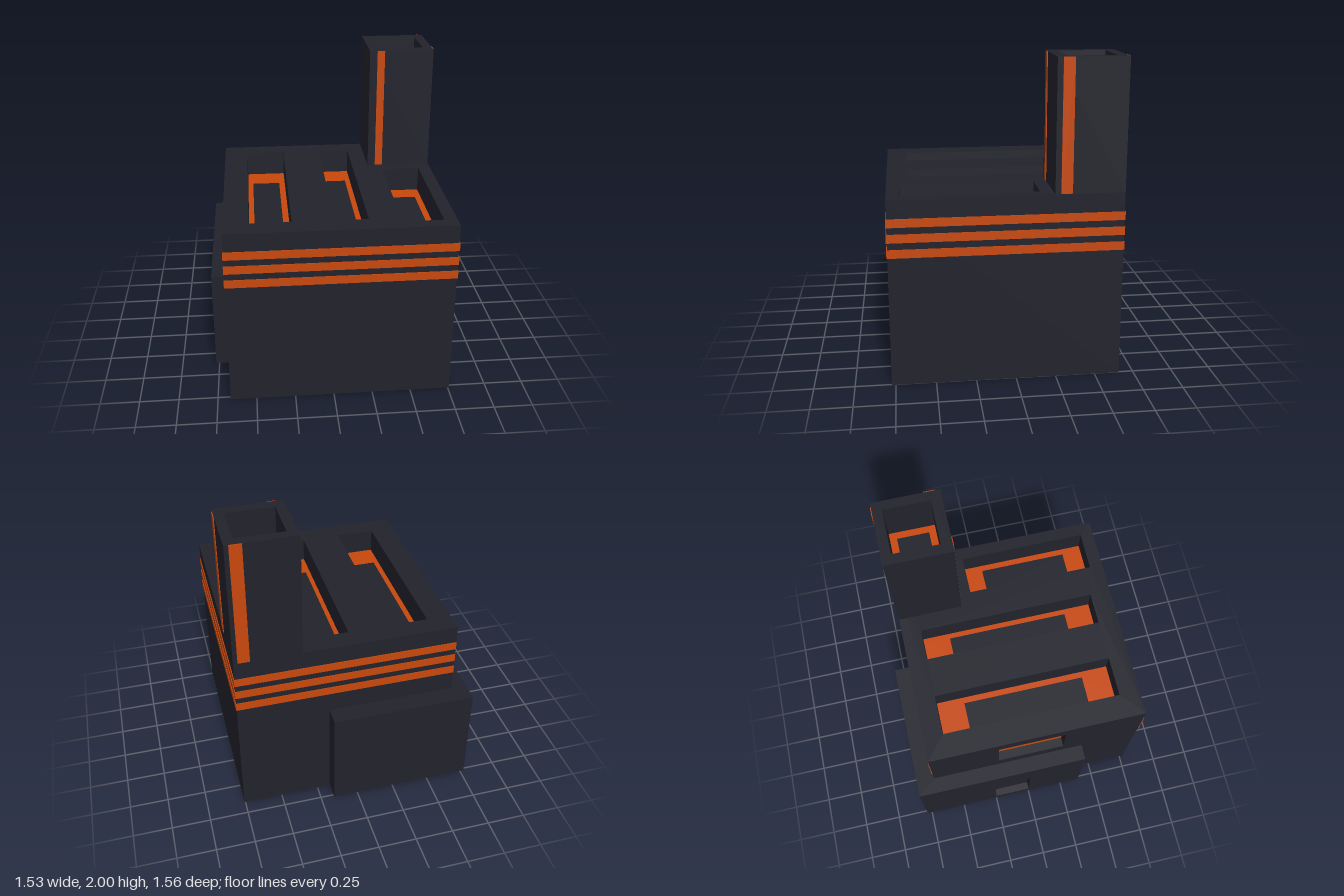
import * as THREE from 'three';

const dark = new THREE.MeshStandardMaterial({ color: 0x22222c, side: THREE.DoubleSide });
dark.name = 'charcoal';
const orange = new THREE.MeshStandardMaterial({ color: 0xc8480c, side: THREE.DoubleSide });
orange.name = 'burnt orange';

// Rectangles are [x0, x1, y0, y1] in the plane of a face
function outline(PathType, [x0, x1, y0, y1]) {
  const p = new PathType();
  p.moveTo(x0, y0);
  p.lineTo(x1, y0);
  p.lineTo(x1, y1);
  p.lineTo(x0, y1);
  p.closePath();
  return p;
}

function sheet(parent, name, rect, z, material, holes = []) {
  const shape = outline(THREE.Shape, rect);
  for (const h of holes) shape.holes.push(outline(THREE.Path, h));
  const mesh = new THREE.Mesh(new THREE.ShapeGeometry(shape), material);
  mesh.name = name;
  mesh.position.z = z;
  parent.add(mesh);
}

// Sunken opening: four inner walls, a floor ring and a centre panel
function recess(parent, name, rect, z, depth, inner, ringMaterial) {
  const [x0, x1, y0, y1] = rect;
  const corners = [[x0, y0], [x1, y0], [x1, y1], [x0, y1]];
  corners.forEach(([ax, ay], i) => {
    const [bx, by] = corners[(i + 1) % 4];
    const geo = new THREE.PlaneGeometry(Math.hypot(bx - ax, by - ay), depth);
    geo.rotateX(Math.PI / 2);
    geo.rotateZ(Math.atan2(by - ay, bx - ax));
    const wall = new THREE.Mesh(geo, dark);
    // turn the wall so that it faces into the opening
    wall.geometry.scale(1, 1, 1);
    wall.position.set((ax + bx) / 2, (ay + by) / 2, z - depth / 2);
    if (geo.attributes.normal.getX(0) * ((x0 + x1) / 2 - wall.position.x)
      + geo.attributes.normal.getY(0) * ((y0 + y1) / 2 - wall.position.y) < 0) {
      geo.rotateZ(Math.PI);
    }
    wall.name = name + 'Wall';
    parent.add(wall);
  });
  sheet(parent, name + 'Rim', rect, z - depth, ringMaterial, [inner]);
  sheet(parent, name + 'Centre', inner, z - depth, dark);
}

// A face frame whose local z is the outward normal
const turns = {
  front: [0, 0], back: [0, Math.PI], left: [0, Math.PI / 2], right: [0, -Math.PI / 2], top: [-Math.PI / 2, 0],
};
function face(parent, side) {
  const g = new THREE.Group();
  g.name = side + 'Face';
  g.rotation.set(turns[side][0], turns[side][1], 0);
  parent.add(g);
  return g;
}

// Open-bottomed block; returns its face frames. holes: { side: [rects] }
function block(parent, name, [x0, x1], [y0, y1], [z0, z1], holes = {}) {
  const g = new THREE.Group();
  g.name = name;
  parent.add(g);
  const layout = {
    front: [[x0, x1, y0, y1], z1],
    back: [[-x1, -x0, y0, y1], -z0],
    left: [[-z1, -z0, y0, y1], x1],
    right: [[z0, z1, y0, y1], -x0],
    top: [[x0, x1, -z1, -z0], y1],
  };
  const faces = {};
  for (const [side, [rect, d]] of Object.entries(layout)) {
    faces[side] = face(g, side);
    sheet(faces[side], name + 'Panel', rect, d, dark, holes[side]);
  }
  return faces;
}

// Thin painted strip standing just proud of a face
function strip(parent, name, [x0, x1, y0, y1], z) {
  const t = 0.005;
  const mesh = new THREE.Mesh(new THREE.BoxGeometry(x1 - x0, y1 - y0, t), orange);
  mesh.name = name;
  mesh.position.set((x0 + x1) / 2, (y0 + y1) / 2, z + t / 2);
  parent.add(mesh);
}

export function createModel() {
  const model = new THREE.Group();
  model.name = 'factory';

  // Main hall with three roof vents and a side window
  const vents = [
    [[-0.51, -0.25, -0.64, 0.53], [-0.475, -0.29, -0.46, 0.35]],
    [[0.01, 0.22, -0.64, 0.53], [0.04, 0.185, -0.46, 0.35]],
    [[0.42, 0.675, -0.69, 0.15], [0.46, 0.635, -0.56, 0.025]],
  ];
  const windowRect = [-0.2, 0.25, 0.79, 1.09];
  const hall = block(model, 'hall', [-0.668, 0.757], [0, 1.187], [-0.658, 0.775], {
    top: vents.map((v) => v[0]),
    right: [windowRect],
  });
  for (const [rect, inner] of vents) recess(hall.top, 'roofVent', rect, 1.187, 0.165, inner, orange);
  recess(hall.right, 'window', windowRect, 0.668, 0.06, [-0.12, 0.17, 0.85, 1.03], orange);

  // Three bands around front, left and back
  for (const y of [0.825, 0.92, 1.015]) {
    strip(hall.front, 'band', [-0.672, 0.76, y, y + 0.053], 0.775);
    strip(hall.left, 'band', [-0.78, 0.66, y, y + 0.053], 0.757);
    strip(hall.back, 'band', [-0.76, 0.668, y, y + 0.053], 0.658);
  }

  // Chimney with a sunken flue and one strip on each banded side
  const flue = [0.395, 0.695, 0.3, 0.595];
  const chimney = block(model, 'chimney', [0.33, 0.757], [1.187, 2], [-0.658, -0.23], { top: [flue] });
  recess(chimney.top, 'flue', flue, 2, 0.3, [0.44, 0.65, 0.345, 0.55], orange);
  strip(chimney.front, 'chimneyStrip', [0.38, 0.43, 1.19, 2], -0.23);
  strip(chimney.left, 'chimneyStrip', [0.265, 0.335, 1.19, 2], 0.757);
  strip(chimney.back, 'chimneyStrip', [-0.73, -0.655, 1.19, 2], 0.658);

  // Low annex wrapped around the back corner, with a recessed doorway
  const door = [-0.25, 0, 0.07, 0.45];
  const annex = block(model, 'annex', [-0.77, 0.165], [0.015, 0.687], [-0.78, 0.388], { right: [door] });
  recess(annex.right, 'doorway', door, 0.77, 0.05, [-0.2, -0.05, 0.12, 0.4], dark);

  return model;
}
